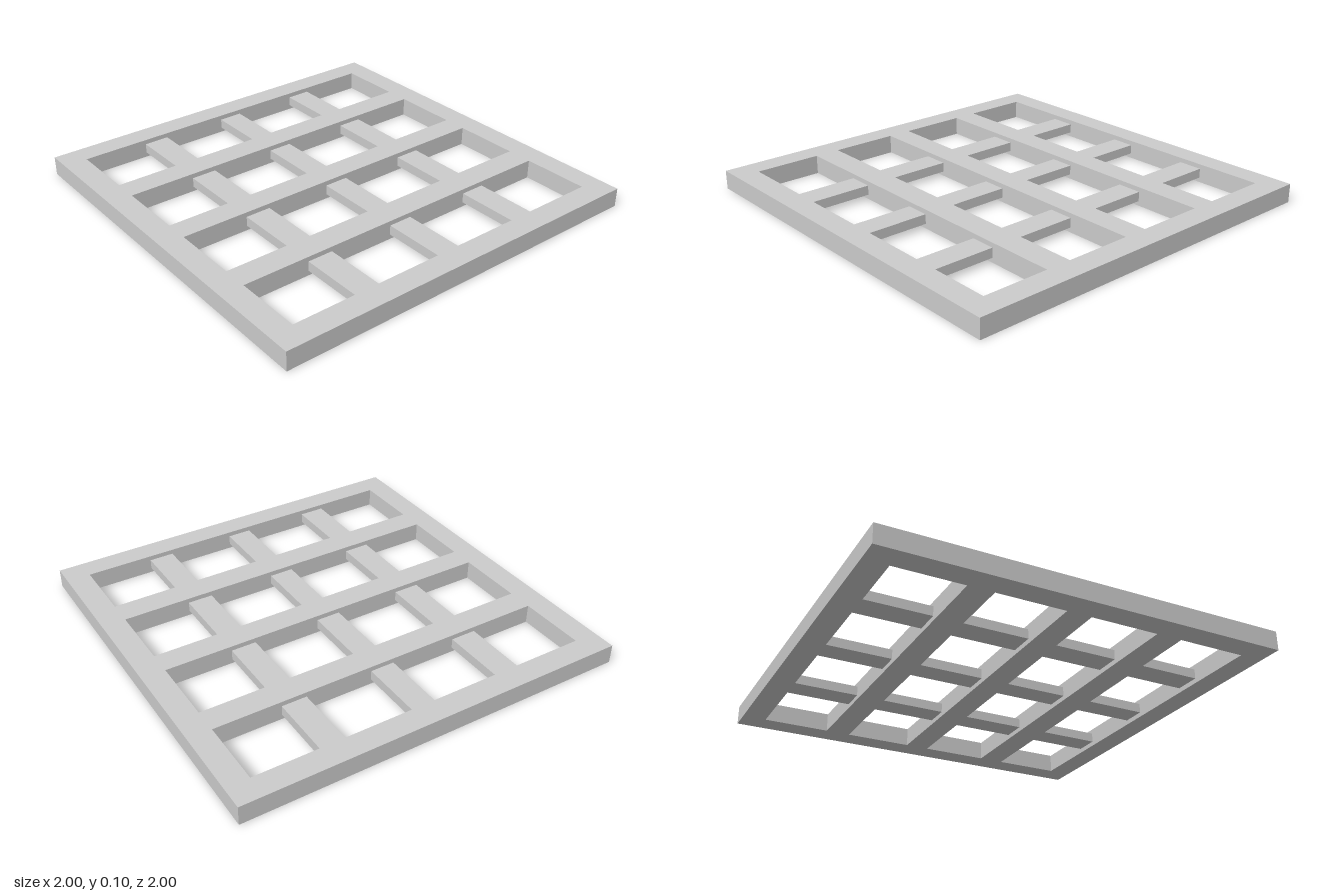
import * as THREE from 'three';

const HEIGHT = 0.097;   // frame thickness
const INNER = 0.88;     // half-size of the opening inside the border
const RECESS = 0.024;   // cross slats sit below the frame faces
// open spans between the bars, along both axes
const SPANS = [[-INNER, -0.538], [-0.41, -0.062], [0.062, 0.407], [0.538, INNER]];

function rectangle(target, x0, x1, y0, y1) {
  target.moveTo(x0, y0);
  target.lineTo(x1, y0);
  target.lineTo(x1, y1);
  target.lineTo(x0, y1);
  target.closePath();
  return target;
}

export function createModel() {
  const group = new THREE.Group();
  group.name = 'lattice';
  const material = new THREE.MeshStandardMaterial({ color: 0xcccccc, flatShading: true });

  // Border and long rails: one slab with four long slots
  const outline = rectangle(new THREE.Shape(), -1, 1, -1, 1);
  for (const [x0, x1] of SPANS) {
    outline.holes.push(rectangle(new THREE.Path(), x0, x1, -INNER, INNER));
  }
  const slab = new THREE.ExtrudeGeometry(outline, { depth: HEIGHT, bevelEnabled: false });
  slab.rotateX(-Math.PI / 2);
  const frame = new THREE.Mesh(slab, material);
  frame.name = 'frameWithRails';
  group.add(frame);

  // Thinner cross slats bridging each slot
  const slats = new THREE.Group();
  slats.name = 'crossSlats';
  for (const [x0, x1] of SPANS) {
    for (let i = 0; i < SPANS.length - 1; i++) {
      const z0 = SPANS[i][1], z1 = SPANS[i + 1][0];
      const slat = new THREE.Mesh(
        new THREE.BoxGeometry(x1 - x0, HEIGHT - 2 * RECESS, z1 - z0), material);
      slat.position.set((x0 + x1) / 2, HEIGHT / 2, (z0 + z1) / 2);
      slat.name = 'crossSlat';
      slats.add(slat);
    }
  }
  group.add(slats);
  return group;
}
